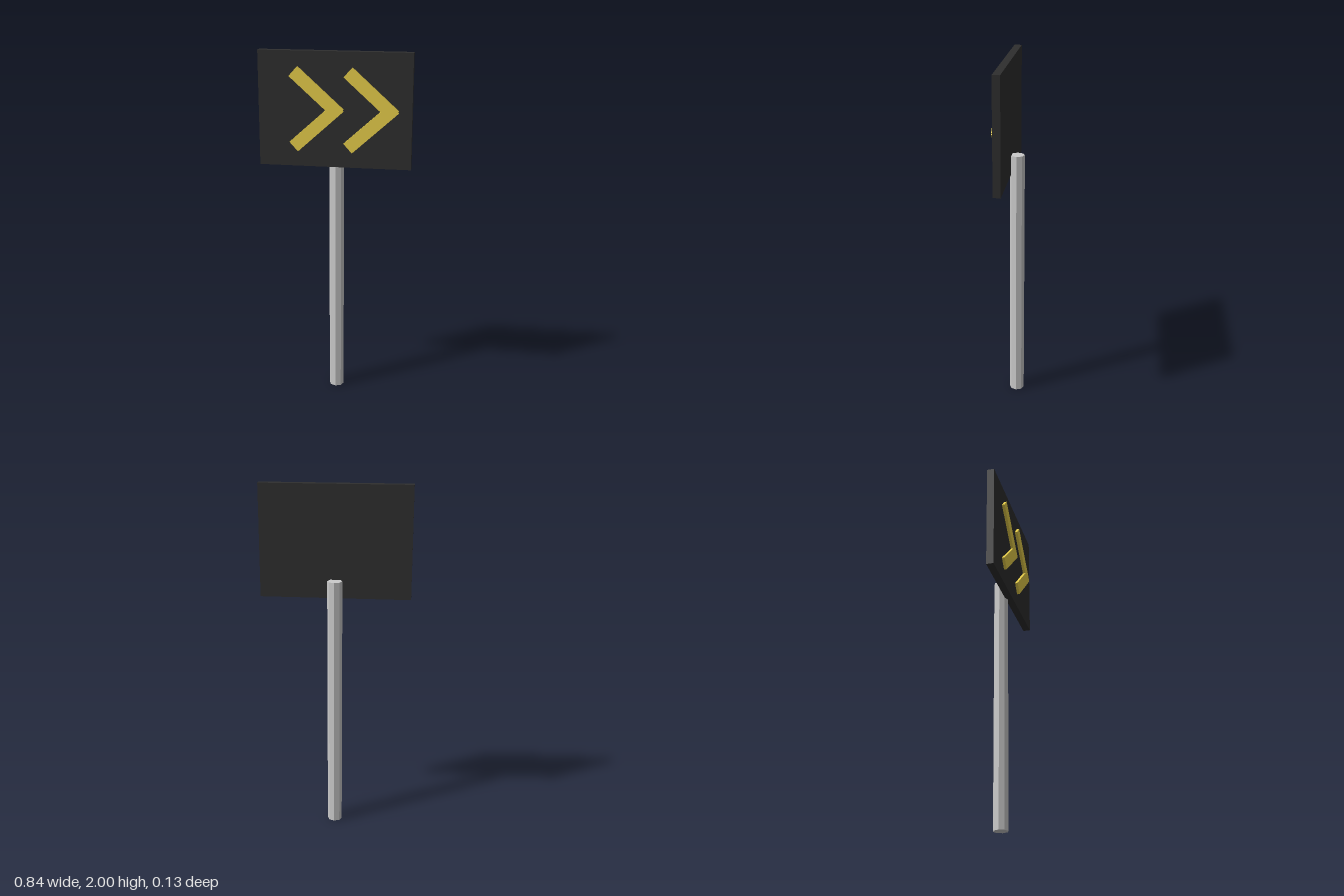
import * as THREE from 'three';

const material = (color) => new THREE.MeshStandardMaterial({ color, flatShading: true });

function part(name, geometry, mat, x, y, z) {
  const mesh = new THREE.Mesh(geometry, mat);
  mesh.name = name;
  mesh.position.set(x, y, z);
  return mesh;
}

export function createModel() {
  const sign = new THREE.Group();
  sign.name = 'chevronRoadSign';

  // Eight-sided post, reaching partway up behind the board
  sign.add(part('post', new THREE.CylinderGeometry(0.042, 0.042, 1.475, 8), material(0xcccccc), 0, 0.7375, -0.024));

  // Dark board
  const centreY = 1.686;
  sign.add(part('board', new THREE.BoxGeometry(0.84, 0.63, 0.042), material(0x2e2e2e), 0, 1.685, 0.027));

  // Two raised chevrons, each made of two mirrored bars crossing at the tip
  const yellow = material(0xe8cf4a);
  const bar = new THREE.BoxGeometry(0.339, 0.07, 0.02);
  const slope = THREE.MathUtils.degToRad(42);
  for (const x of [-0.099, 0.2]) {
    const chevron = new THREE.Group();
    chevron.name = 'chevron';
    for (const side of [1, -1]) {
      const arm = part(side > 0 ? 'upperBar' : 'lowerBar', bar, yellow, x, centreY + side * 0.0925, 0.054);
      arm.rotation.z = -side * slope;
      chevron.add(arm);
    }
    sign.add(chevron);
  }
  return sign;
}
